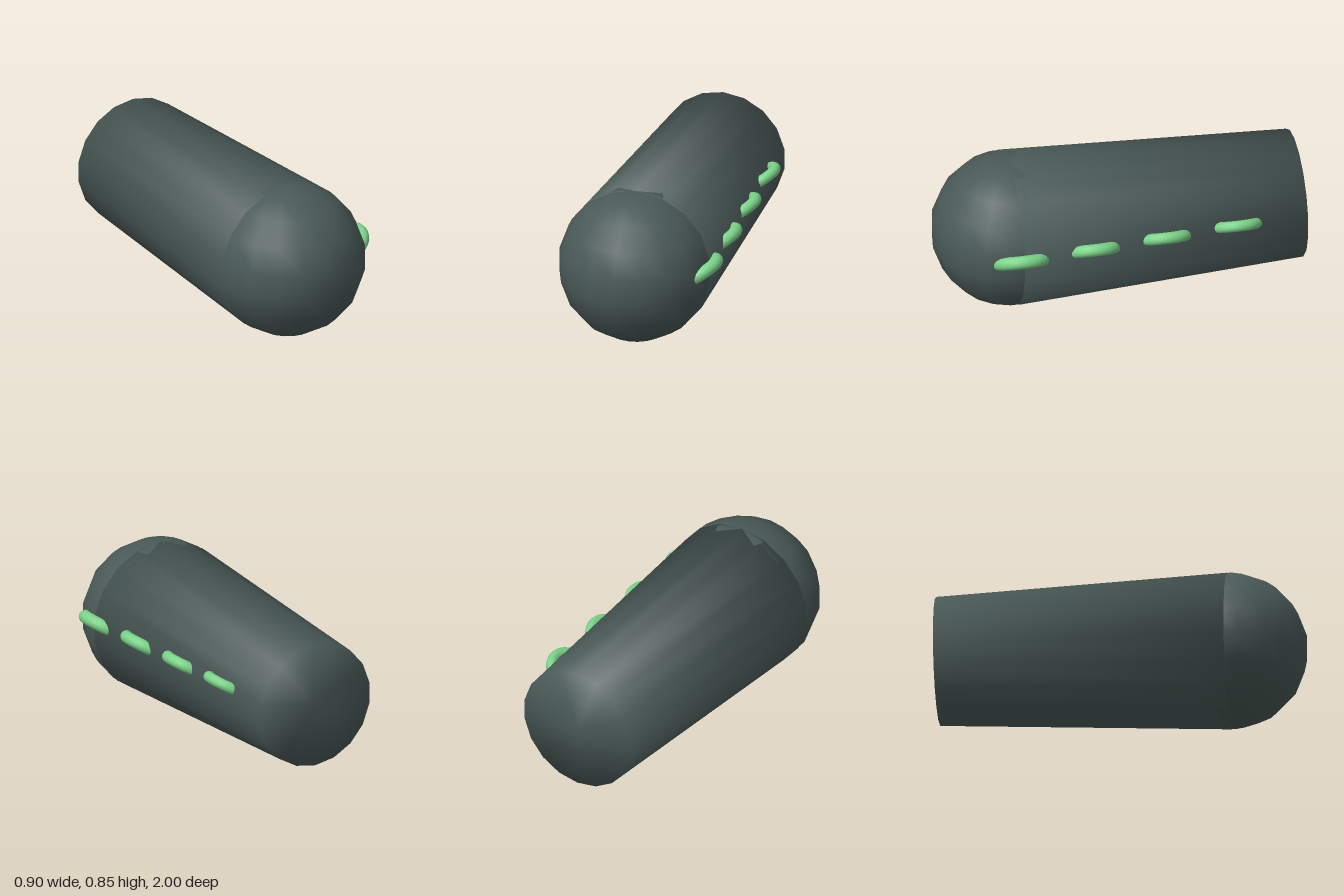
import * as THREE from 'three';

export function createModel() {
  const group = new THREE.Group();
  const shell = new THREE.MeshStandardMaterial({ color: 0x4a5a57 });
  shell.name = 'dark slate';
  const glow = new THREE.MeshStandardMaterial({ color: 0x7bd389 });
  glow.name = 'soft green';

  const add = (name, geometry, material, x, y, z) => {
    const mesh = new THREE.Mesh(geometry, material);
    mesh.name = name;
    mesh.position.set(x, y, z);
    group.add(mesh);
  };
  const axisX = -0.034, axisY = 0.426, noseZ = 0.58, length = 1.58;
  const R = 0.425;

  // Tapered body, its normals blended smoothly over the end rims
  const body = new THREE.CylinderGeometry(R, 0.35, length, 18);
  body.rotateX(Math.PI / 2);
  const p = body.attributes.position, n = body.attributes.normal;
  const v = new THREE.Vector3();
  for (let i = 0; i < p.count; i++) {
    const radius = Math.hypot(p.getX(i), p.getY(i));
    if (radius < 0.01) continue;
    v.set(p.getX(i) / radius, p.getY(i) / radius, Math.sign(p.getZ(i)) * 0.9).normalize();
    n.setXYZ(i, v.x, v.y, v.z);
  }
  add('body', body, shell, axisX, axisY, noseZ - length / 2);

  // Round nose, same facet count as the body
  const nose = new THREE.SphereGeometry(R, 18, 9);
  nose.rotateY(Math.PI / 2);
  add('nose', nose, shell, axisX, axisY, noseZ);

  // Row of arched ridges along the left side, shrinking toward the back
  const lerp = THREE.MathUtils.lerp;
  for (let i = 0; i < 4; i++) {
    const t = i / 3;
    const arch = new THREE.TorusGeometry(lerp(0.13, 0.115, t), lerp(0.036, 0.03, t), 12, 20, Math.PI);
    arch.rotateY(-Math.PI / 2);
    arch.rotateZ(-Math.PI / 3);
    add('sideRidge' + (i + 1), arch, glow, lerp(0.301, 0.275, t), lerp(0.424, 0.472, t), lerp(0.587, -0.608, t));
  }
  return group;
}
